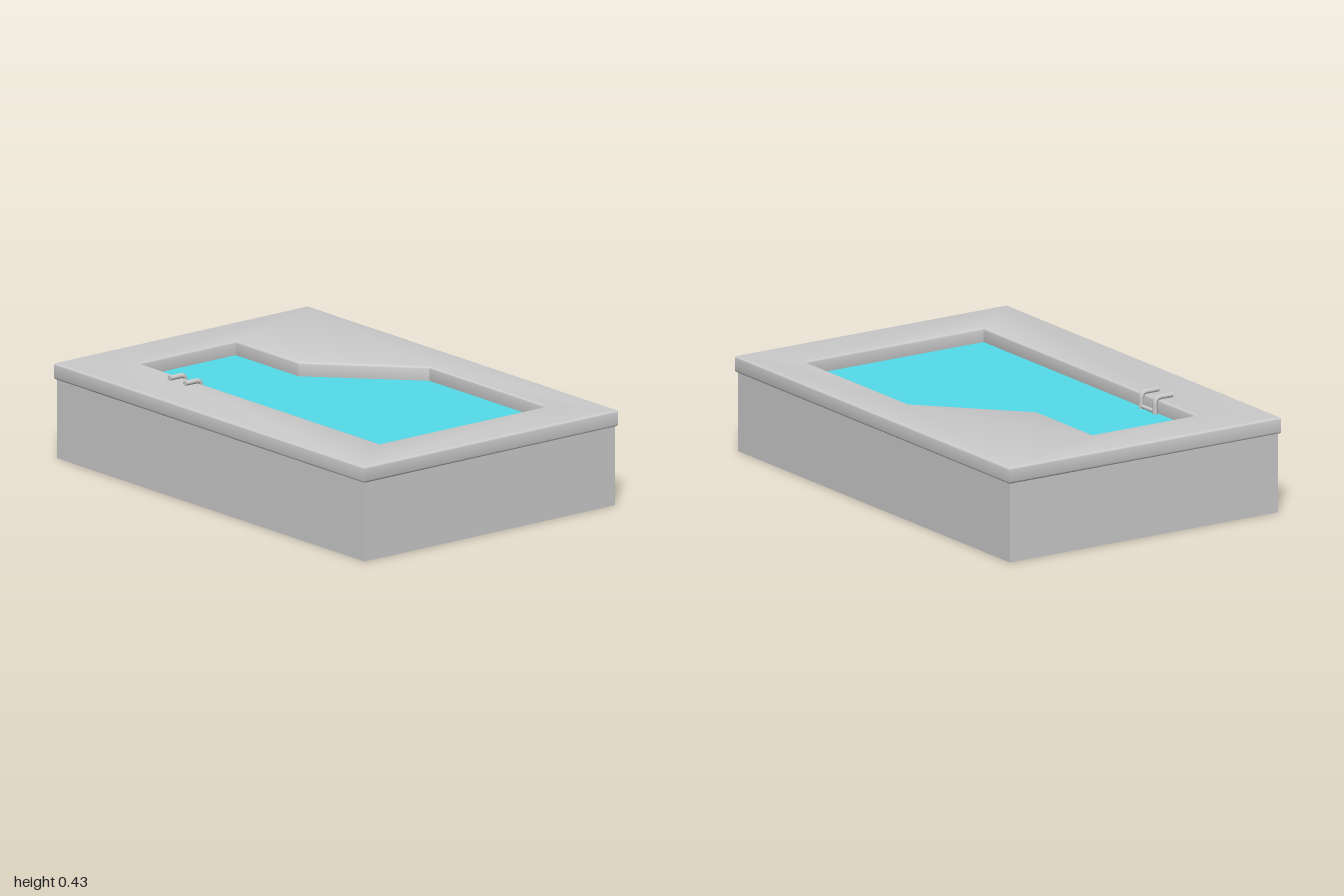
import * as THREE from 'three';
import { toCreasedNormals } from 'three/addons/utils/BufferGeometryUtils.js';

// Pool outline as [x, z], clockwise seen from above
const OUTLINE = [[-0.4, -0.78], [0.11, -0.78], [0.11, -0.375], [0.48, 0.015], [0.48, 0.77], [-0.4, 0.77]];

// Moves every edge of the outline inwards by d (outwards when negative)
function inset(points, d) {
  const n = points.length;
  const normal = (a, b) => {
    const l = Math.hypot(b[0] - a[0], b[1] - a[1]);
    return [-(b[1] - a[1]) / l, (b[0] - a[0]) / l];
  };
  return points.map((p, i) => {
    const a = normal(points[(i + n - 1) % n], p);
    const b = normal(p, points[(i + 1) % n]);
    const k = d / (1 + a[0] * b[0] + a[1] * b[1]);
    return [p[0] + (a[0] + b[0]) * k, p[1] + (a[1] + b[1]) * k];
  });
}

// Shape or hole from [x, z] points; sign -1 suits a surface turned to face up
const toPoints = (points, sign) => points.map(([x, z]) => new THREE.Vector2(x, sign * z));

// Side surface through insets of the outline at given heights
function loftSides(profile) {
  const rings = profile.map(([d, y]) => inset(OUTLINE, d).map(([x, z]) => [x, y, z]));
  const pos = [];
  const n = OUTLINE.length;
  for (let r = 0; r < rings.length - 1; r++) {
    for (let i = 0; i < n; i++) {
      const j = (i + 1) % n;
      const t = rings[r], b = rings[r + 1];
      pos.push(...t[i], ...t[j], ...b[i], ...t[j], ...b[j], ...b[i]);
    }
  }
  const geo = new THREE.BufferGeometry();
  geo.setAttribute('position', new THREE.Float32BufferAttribute(pos, 3));
  return toCreasedNormals(geo, 0.5);
}

export function createModel() {
  const model = new THREE.Group();
  const grey = new THREE.MeshStandardMaterial({ color: 0xcccccc });
  const greyThin = new THREE.MeshStandardMaterial({ color: 0xcccccc, side: THREE.DoubleSide });
  const teal = new THREE.MeshStandardMaterial({ color: 0x55dcea });
  const add = (parent, name, geo, mat) => {
    const mesh = new THREE.Mesh(geo, mat);
    mesh.name = name;
    parent.add(mesh);
    return mesh;
  };

  // Deck slab with rounded edges and the pool opening
  const bevel = 0.01;
  const x = 0.67 - bevel, z = 1 - bevel;
  const deckShape = new THREE.Shape(toPoints([[-x, z], [x, z], [x, -z], [-x, -z]], -1));
  deckShape.holes.push(new THREE.Path(toPoints(inset(OUTLINE, -bevel), -1)));
  const deck = new THREE.ExtrudeGeometry(deckShape, {
    depth: 0.05, bevelEnabled: true, bevelSize: bevel, bevelThickness: bevel, bevelSegments: 3,
  });
  deck.rotateX(-Math.PI / 2).translate(0, 0.335 + bevel, 0);
  add(model, 'deck', toCreasedNormals(deck, 0.6), grey);

  // Outer walls, open underneath
  const walls = new THREE.Group();
  walls.name = 'outerWalls';
  model.add(walls);
  const wallX = 0.66, wallZ = 0.99, wallH = 0.34;
  for (const s of [-1, 1]) {
    const end = add(walls, 'endWall', new THREE.PlaneGeometry(2 * wallX, wallH), greyThin);
    end.position.set(0, wallH / 2, s * wallZ);
    end.rotation.y = s > 0 ? 0 : Math.PI;
    const side = add(walls, 'sideWall', new THREE.PlaneGeometry(2 * wallZ, wallH), greyThin);
    side.position.set(s * wallX, wallH / 2, 0);
    side.rotation.y = s * Math.PI / 2;
  }

  // Water body: surface, sides that slope in at the foot, rounded into the floor
  const water = new THREE.Group();
  water.name = 'water';
  model.add(water);
  const level = 0.345;
  const profile = [[-0.004, level], [-0.004, 0.146], [0.065, 0.045], [0.082, 0.025], [0.1, 0.012], [0.125, 0.006]];
  add(water, 'basinSides', loftSides(profile), teal);
  const surface = new THREE.ShapeGeometry(new THREE.Shape(toPoints(inset(OUTLINE, -0.004), -1)));
  add(water, 'waterSurface', surface.rotateX(-Math.PI / 2).translate(0, level, 0), teal);
  const floor = new THREE.ShapeGeometry(new THREE.Shape(toPoints(inset(OUTLINE, 0.125), 1)));
  add(water, 'basinFloor', floor.rotateX(Math.PI / 2).translate(0, 0.006, 0), teal);

  // Ladder: two bent rails and the rungs between them
  const ladder = new THREE.Group();
  ladder.name = 'ladder';
  model.add(ladder);
  const r = 0.011, railX = -0.387, topY = 0.414;
  const rail = new THREE.CurvePath();
  const v = (px, py) => new THREE.Vector3(px, py, 0);
  rail.add(new THREE.LineCurve3(v(-0.47, topY), v(railX - 0.025, topY)));
  rail.add(new THREE.QuadraticBezierCurve3(v(railX - 0.025, topY), v(railX, topY), v(railX, topY - 0.025)));
  rail.add(new THREE.LineCurve3(v(railX, topY - 0.025), v(railX, 0.2)));
  for (const pz of [-0.4, -0.5]) {
    add(ladder, 'ladderRail', new THREE.TubeGeometry(rail, 48, r, 12), grey).position.z = pz;
    const cap = add(ladder, 'railEnd', new THREE.CircleGeometry(r, 12), grey);
    cap.rotation.y = -Math.PI / 2;
    cap.position.set(-0.47, topY, pz);
  }
  for (const py of [0.355, 0.29, 0.225]) {
    const rung = add(ladder, 'ladderRung', new THREE.CylinderGeometry(0.008, 0.008, 0.1, 12), grey);
    rung.rotation.x = Math.PI / 2;
    rung.position.set(railX, py, -0.45);
  }
  return model;
}
